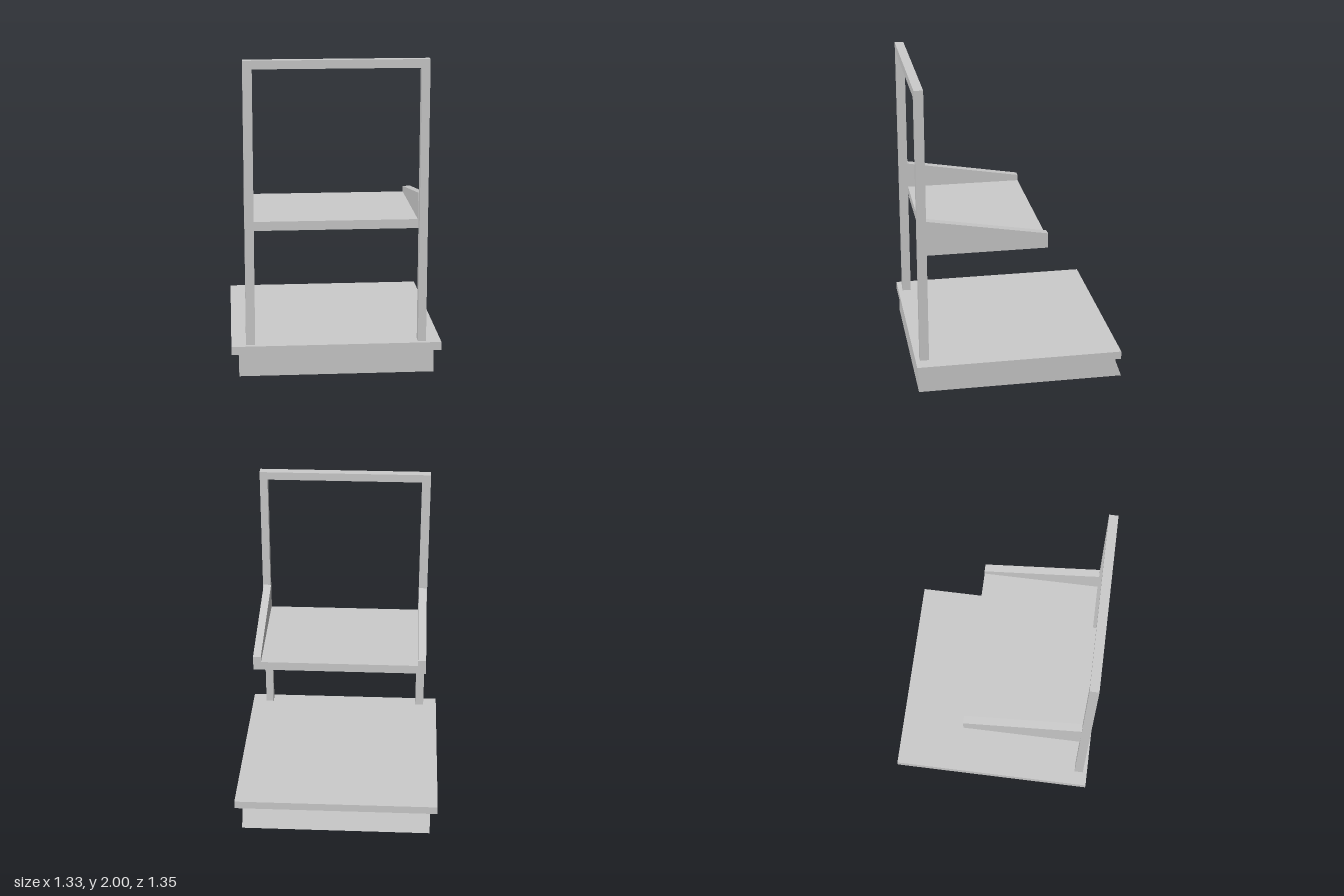
import * as THREE from 'three';

const material = new THREE.MeshStandardMaterial({ color: 0xcccccc, flatShading: true });

// Box given by its min and max corners
function box(name, [x0, y0, z0], [x1, y1, z1]) {
  const geometry = new THREE.BoxGeometry(x1 - x0, y1 - y0, z1 - z0);
  geometry.translate((x0 + x1) / 2, (y0 + y1) / 2, (z0 + z1) / 2);
  const mesh = new THREE.Mesh(geometry, material);
  mesh.name = name;
  return mesh;
}

// Side profile in (z, y), extruded along x from x0 to x1
function sideProfile(name, points, x0, x1) {
  const shape = new THREE.Shape(points.map(([z, y]) => new THREE.Vector2(z, y)));
  const geometry = new THREE.ExtrudeGeometry(shape, { depth: x1 - x0, bevelEnabled: false });
  geometry.rotateY(-Math.PI / 2);
  geometry.translate(x1, 0, 0);
  const mesh = new THREE.Mesh(geometry, material);
  mesh.name = name;
  return mesh;
}

export function createModel() {
  const model = new THREE.Group();
  model.name = 'shelfStand';

  // Plinth with a slanted back, and the platform on it
  model.add(sideProfile('plinth', [[-0.675, 0], [0.66, 0], [0.66, 0.147], [-0.622, 0.147]], -0.618, 0.618));
  model.add(box('platform', [-0.665, 0.147, -0.66], [0.665, 0.2, 0.672]));

  // Upright frame: one outline with an opening down to the platform
  const outline = [[-0.573, 0.2], [-0.515, 0.2], [-0.515, 1.947], [0.518, 1.947],
    [0.518, 0.2], [0.57, 0.2], [0.57, 2], [-0.573, 2]];
  const frameShape = new THREE.Shape(outline.map(([x, y]) => new THREE.Vector2(x, y)));
  const frame = new THREE.Mesh(
    new THREE.ExtrudeGeometry(frameShape, { depth: 0.058, bevelEnabled: false }), material);
  frame.position.z = 0.585;
  frame.name = 'uprightFrame';
  model.add(frame);

  // Shelf held between two tapered side panels
  model.add(box('shelf', [-0.515, 0.927, -0.185], [0.514, 0.985, 0.585]));
  const panel = [[-0.185, 0.927], [0.585, 0.927], [0.585, 1.155], [-0.185, 1.024]];
  model.add(sideProfile('leftSidePanel', panel, 0.514, 0.565));
  model.add(sideProfile('rightSidePanel', panel, -0.567, -0.515));

  return model;
}
